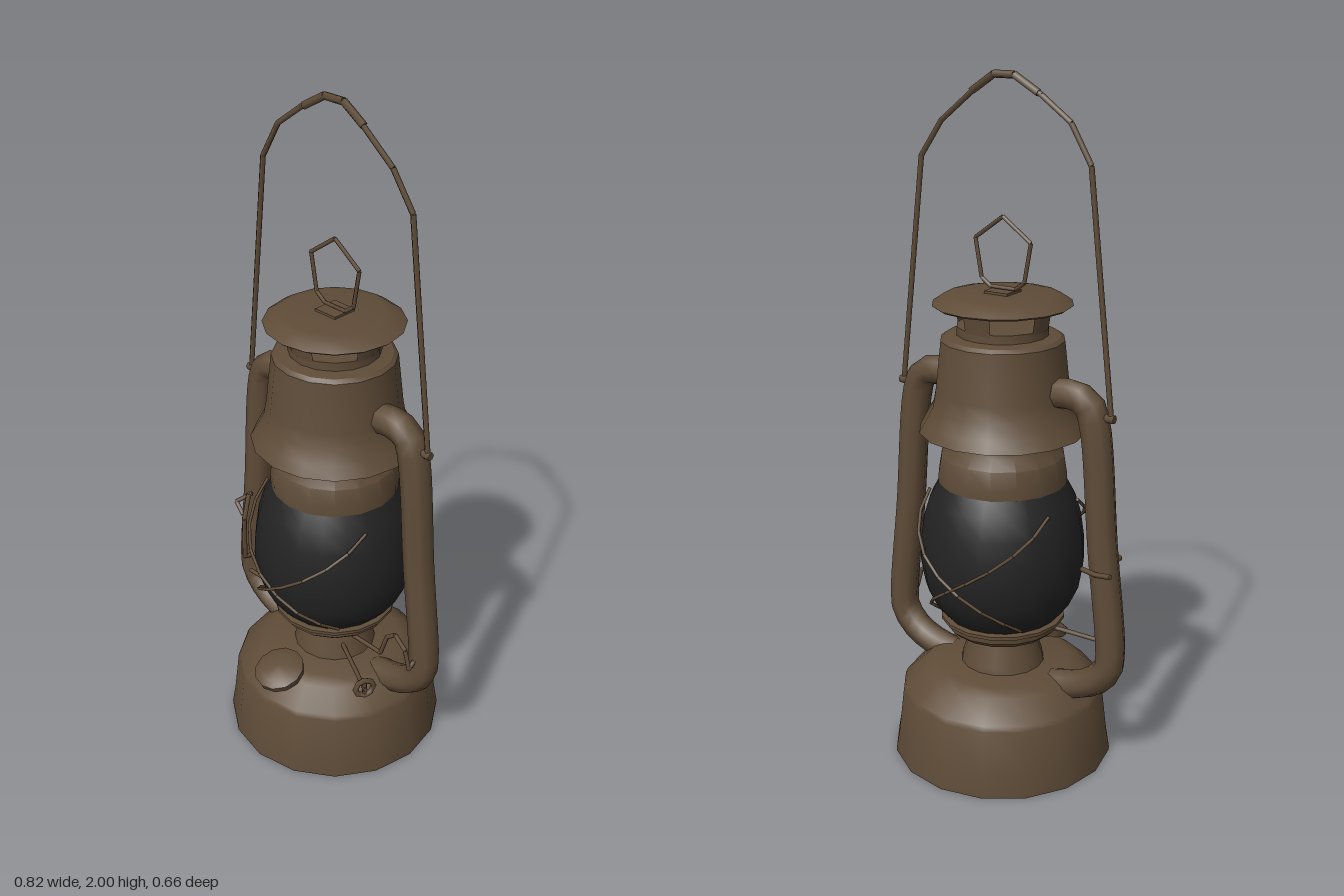
import * as THREE from 'three';
import { toCreasedNormals, mergeGeometries } from 'three/addons/utils/BufferGeometryUtils.js';

const V = (x, y, z = 0) => new THREE.Vector3(x, y, z);

export function createModel() {
  const group = new THREE.Group();
  const metal = new THREE.MeshStandardMaterial({ color: 0x5f4c38, side: THREE.DoubleSide });
  metal.name = 'agedBronze';
  const glass = new THREE.MeshStandardMaterial({ color: 0x232323 });
  glass.name = 'smokedGlass';

  const add = (name, geometry, material = metal) => {
    const mesh = new THREE.Mesh(geometry, material);
    mesh.name = name;
    group.add(mesh);
    return mesh;
  };

  // Turned part from [radius, height] pairs, listed bottom to top
  const turned = (name, profile, material = metal, sides = 16) => {
    const points = profile.map(([r, y]) => new THREE.Vector2(r, y));
    return add(name, toCreasedNormals(new THREE.LatheGeometry(points, sides), 0.6), material);
  };

  // Straight rod between two points
  const rod = (a, b, r, sides = 5) => {
    const d = b.clone().sub(a);
    const g = new THREE.CylinderGeometry(r, r, d.length(), sides);
    g.applyQuaternion(new THREE.Quaternion().setFromUnitVectors(V(0, 1), d.normalize()));
    const m = a.clone().add(b).multiplyScalar(0.5);
    return g.translate(m.x, m.y, m.z);
  };

  // Bent wire through a list of points
  const wire = (name, points, r) =>
    add(name, mergeGeometries(points.slice(1).map((p, i) => rod(points[i], p, r))));

  // Fuel tank and burner
  turned('fuelTank', [[0, 0], [0.328, 0], [0.328, 0.012], [0.318, 0.07], [0.303, 0.2], [0.296, 0.215],
    [0.235, 0.27], [0.2, 0.285], [0, 0.285]]);
  turned('burnerCone', [[0.125, 0.28], [0.12, 0.305], [0.105, 0.35], [0.095, 0.4]]);
  turned('burnerPlate', [[0.09, 0.39], [0.15, 0.392], [0.17, 0.41], [0.172, 0.425], [0.184, 0.43],
    [0.184, 0.44], [0.16, 0.445], [0, 0.445]]);

  // Globe
  const globe = [[0.165, 0.44], [0.2, 0.48], [0.228, 0.54], [0.24, 0.61], [0.238, 0.68], [0.228, 0.75],
    [0.21, 0.81], [0.182, 0.862]];
  turned('globe', globe, glass, 20);

  // Chimney, hood and lid
  turned('chimneyCollar', [[0.175, 0.855], [0.187, 0.858], [0.187, 0.885], [0.178, 0.94], [0.155, 0.97],
    [0.15, 1.0], [0.15, 1.1]]);
  turned('hood', [[0.232, 1.01], [0.24, 1.012], [0.222, 1.045], [0.2, 1.085], [0.192, 1.13], [0.176, 1.275],
    [0.165, 1.285], [0.13, 1.29], [0.13, 1.315]]);
  for (let i = 0; i < 4; i++) {
    add('ventPost', new THREE.CylinderGeometry(0.14, 0.13, 0.065, 3, 1, true, i * Math.PI / 2 - 0.32, 0.64))
      .position.y = 1.342;
  }
  turned('ventFloor', [[0.13, 1.315], [0, 1.315]]);
  turned('lid', [[0, 1.368], [0.14, 1.368], [0.19, 1.37], [0.198, 1.376], [0.165, 1.398], [0.14, 1.403],
    [0, 1.406]]);
  add('ringPlate', new THREE.BoxGeometry(0.075, 0.012, 0.075)).position.y = 1.406;

  // Lid ring and carrying handle
  wire('lidRing', [V(0, 1.615), V(0.09, 1.55), V(0.07, 1.44), V(0.04, 1.418), V(-0.04, 1.418),
    V(-0.07, 1.44), V(-0.09, 1.55), V(0, 1.615)], 0.006);
  wire('handle', [[-0.35, 1.09], [-0.272, 1.77], [-0.21, 1.875], [-0.12, 1.94], [-0.035, 1.99], [0.03, 1.99],
    [0.1, 1.94], [0.2, 1.86], [0.27, 1.76], [0.35, 1.09]].map(p => V(...p)), 0.008);
  wire('handleGrip', [V(-0.11, 1.945), V(-0.035, 1.988), V(0.03, 1.988), V(0.1, 1.942)], 0.011);

  // Side air tubes
  for (const s of [-1, 1]) {
    const path = new THREE.CatmullRomCurve3([[0.14, 1.14], [0.23, 1.148], [0.278, 1.13], [0.3, 1.07],
      [0.333, 0.72], [0.366, 0.41], [0.362, 0.355], [0.325, 0.305], [0.27, 0.273], [0.18, 0.25]]
      .map(([x, y]) => V(s * x, y)));
    add('airTube', new THREE.TubeGeometry(path, 30, 0.044, 8));
    // Handle pivots
    add('handlePivot', rod(V(s * 0.3, 1.1), V(s * 0.36, 1.1), 0.012, 6));
  }

  // Guard wires crossing at the front and back of the globe
  const radiusAt = y => {
    const i = Math.max(1, globe.findIndex(p => p[1] >= y));
    const [[r0, y0], [r1, y1]] = [globe[i - 1], globe[i]];
    return r0 + (r1 - r0) * (y - y0) / (y1 - y0);
  };
  for (const face of [0, Math.PI]) {
    for (const s of [-1, 1]) {
      const points = [];
      for (let i = 0; i <= 8; i++) {
        const t = i / 8;
        const y = 0.46 + 0.35 * t;
        const a = face + s * (-0.85 + 2.05 * t);
        const r = radiusAt(y) + 0.008 + 0.018 * Math.sin(Math.PI * t);
        points.push(V(r * Math.sin(a), y, r * Math.cos(a)));
      }
      wire('guardWire', points, 0.005);
    }
  }

  // Filler neck and cap, leaning forward
  const filler = new THREE.Group();
  filler.name = 'filler';
  const neck = new THREE.Mesh(new THREE.CylinderGeometry(0.05, 0.06, 0.08, 10), metal);
  neck.name = 'fillerNeck';
  neck.position.y = -0.045;
  const cap = new THREE.Mesh(toCreasedNormals(new THREE.LatheGeometry(
    [[0, -0.014], [0.072, -0.014], [0.076, 0.008], [0.055, 0.02], [0, 0.024]]
      .map(p => new THREE.Vector2(...p)), 12), 0.6), metal);
  cap.name = 'fillerCap';
  filler.add(neck, cap);
  filler.position.set(0, 0.283, 0.235);
  filler.rotation.x = 0.3;
  group.add(filler);

  // Wick shaft and knob
  add('wickShaft', rod(V(0.08, 0.33, 0.05), V(0.28, 0.33, 0.155), 0.007));
  const knob = add('wickKnob', new THREE.TorusGeometry(0.028, 0.009, 5, 8));
  knob.position.set(0.272, 0.33, 0.15);
  knob.rotation.y = 1.09;
  add('knobSpoke', rod(V(0.272, 0.302, 0.15), V(0.272, 0.358, 0.15), 0.007));

  // Globe lift lever and catch
  wire('liftLever', [V(-0.32, 0.395, 0.06), V(0.25, 0.395, 0.06), V(0.275, 0.47, 0.06), V(0.305, 0.495, 0.06),
    V(0.345, 0.46, 0.06), V(0.362, 0.4, 0.06), V(0.365, 0.42, 0.04)], 0.007);
  wire('liftRod', [V(-0.305, 0.46, 0.05), V(-0.31, 0.47, 0.09), V(-0.3, 0.62, 0.095), V(-0.315, 0.69, 0.06),
    V(-0.335, 0.65, 0.05)], 0.008);
  wire('liftCatch', [V(-0.31, 0.69, 0.05), V(-0.345, 0.66, 0.085), V(-0.31, 0.63, 0.09)], 0.007);
  wire('rearCatch', [V(-0.29, 0.66, -0.04), V(-0.345, 0.66, -0.055), V(-0.395, 0.67, -0.065)], 0.008);

  return group;
}
